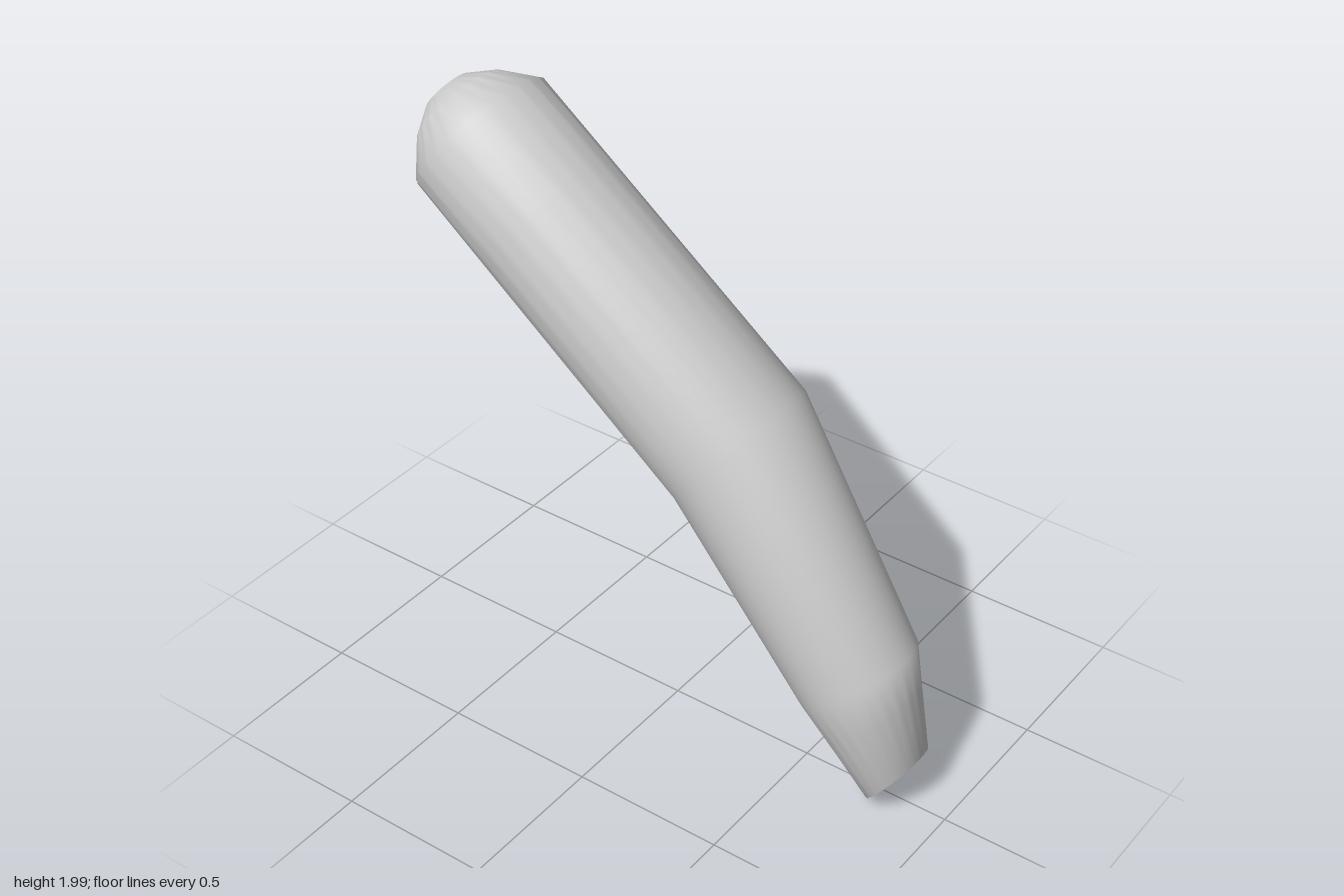
import * as THREE from 'three';
import { mergeVertices } from 'three/addons/utils/BufferGeometryUtils.js';

const SIDES = 48;

// A cross-section given by its upper and lower points [z, y] in the side plane.
function ring(upper, lower, flute = 0) {
  const a = new THREE.Vector2(...upper), b = new THREE.Vector2(...lower);
  return {
    centre: a.clone().add(b).multiplyScalar(0.5),
    half: a.clone().sub(b).multiplyScalar(0.5),
    flute,
  };
}

// Plain section part of the way between two others.
function between(a, b, t) {
  return { centre: a.centre.clone().lerp(b.centre, t), half: a.half.clone().lerp(b.half, t), flute: 0 };
}

// Section scaled and shifted along its own normal.
function offset(base, scale, distance) {
  const normal = new THREE.Vector2(-base.half.y, base.half.x).normalize();
  return {
    centre: base.centre.clone().addScaledVector(normal, distance),
    half: base.half.clone().multiplyScalar(scale),
    flute: 0,
  };
}

// Closed skin through the sections, smooth-shaded.
function loft(rings) {
  const positions = [], index = [];
  rings.forEach((r, i) => {
    const radius = r.half.length();
    for (let j = 0; j < SIDES; j++) {
      const angle = (j / SIDES) * Math.PI * 2;
      const k = j % 2 ? 1 - r.flute : 1;
      const c = Math.cos(angle) * k, s = Math.sin(angle) * k;
      positions.push(radius * s, r.centre.y + r.half.y * c, r.centre.x + r.half.x * c);
      if (i < rings.length - 1) {
        const a = i * SIDES + j, b = i * SIDES + ((j + 1) % SIDES);
        index.push(a, b, a + SIDES, b, b + SIDES, a + SIDES);
      }
    }
  });
  let geometry = new THREE.BufferGeometry();
  geometry.setAttribute('position', new THREE.Float32BufferAttribute(positions, 3));
  geometry.setIndex(index);
  geometry = mergeVertices(geometry, 1e-5);
  geometry.computeVertexNormals();
  return geometry;
}

export function createModel() {
  const group = new THREE.Group();
  group.name = 'bentRod';

  const foot = ring([0.9, 0.2], [0.75, 0.01], 0.08);
  const shoulder = ring([0.83, 0.55], [0.51, 0.31]);
  const bend = ring([0.38, 1.27], [0.07, 0.88]);
  const rim = ring([-0.57, 2.0], [-0.87, 1.62], 0.07);

  const rings = [
    // shallow dished end
    offset(foot, 0, 0.01),
    offset(foot, 0.45, 0.015),
    offset(foot, 0.8, 0.03),
    foot,
    // fluted taper, then the bent shaft
    between(foot, shoulder, 0.6),
    shoulder,
    bend,
    between(bend, rim, 0.73),
    rim,
    // domed tip
    offset(rim, 0.65, 0.1),
    offset(rim, 0.32, 0.155),
    offset(rim, 0, 0.17),
  ];

  const material = new THREE.MeshStandardMaterial({ color: 0xcccccc });
  const body = new THREE.Mesh(loft(rings), material);
  body.name = 'body';
  group.add(body);
  return group;
}
